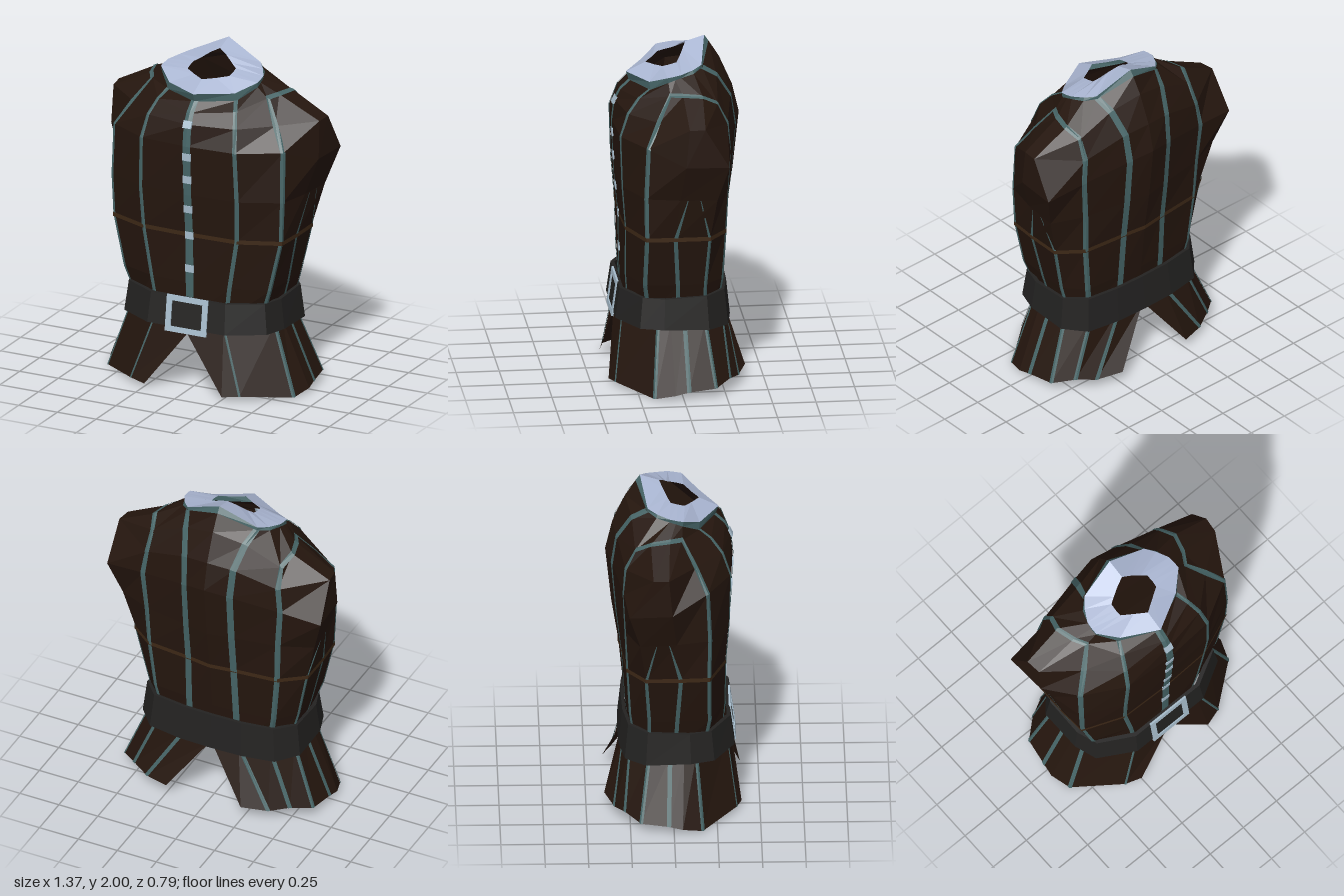
import * as THREE from 'three';

const V = (x, y, z) => new THREE.Vector3(x, y, z);
const mat = (color) => new THREE.MeshStandardMaterial({ color, flatShading: true, side: THREE.DoubleSide });
const cloth = mat(0x25160e), trim = mat(0x466567), seam = mat(0x3d2816);
const leather = mat(0x232221), metal = mat(0xa9bfcf), lining = mat(0xaab6d2);

// Half cross-sections, front centre -> left side -> back centre.
// Lower torso: [y, then x,z pairs]
const lower = [
  [0.45, 0, .30, .22, .28, .40, .18, .43, .01, .43, -.14, .34, -.22, .15, -.25, 0, -.255],
  [0.65, 0, .305, .25, .295, .47, .21, .485, .02, .485, -.14, .38, -.25, .15, -.27, 0, -.28],
  [0.95, 0, .31, .30, .30, .54, .205, .55, .04, .55, -.16, .41, -.265, .145, -.29, 0, -.31],
  [1.20, 0, .335, .31, .32, .55, .21, .595, .015, .615, -.195, .42, -.275, .145, -.32, 0, -.35],
];
// Chest, shoulder and neck: x,y,z triples
const upper = [
  [0, 1.5, .348, .30, 1.5, .33, .545, 1.5, .195, .67, 1.42, -.01, .685, 1.42, -.258, .44, 1.45, -.285, .145, 1.5, -.345, 0, 1.53, -.385],
  [0, 1.63, .335, .28, 1.63, .285, .46, 1.63, .125, .665, 1.645, -.03, .675, 1.65, -.12, .42, 1.6, -.275, .155, 1.68, -.32, 0, 1.7, -.345],
  [0, 1.69, .305, .25, 1.71, .22, .37, 1.76, .05, .41, 1.77, -.02, .44, 1.77, -.13, .41, 1.72, -.22, .19, 1.82, -.235, 0, 1.87, -.27],
  [0, 1.745, .25, .22, 1.752, .15, .31, 1.82, .055, .31, 1.835, .015, .305, 1.845, -.02, .28, 1.86, -.095, .22, 1.878, -.15, 0, 1.965, -.21],
];
const collarEdge = [0, 1.795, .268, .21, 1.797, .155, .312, 1.85, .06, .312, 1.857, .02, .308, 1.865, -.02, .27, 1.878, -.09, .225, 1.895, -.145, 0, 2, -.185];
const collarHole = [0, 1.85, .155, .07, 1.855, .11, .135, 1.865, .07, .138, 1.875, .03, .135, 1.885, -.01, .10, 1.905, -.03, .05, 1.94, -.055, 0, 1.965, -.075];
const beltHalf = [0, .355, .25, .355, .46, .235, .505, .10, .505, -.16, .40, -.28, .20, -.312, 0, -.318];
const skirtTop = [0, .35, .34, .22, .42, .31, .46, .42, .13, .475, .42, .06, .47, .42, -.02, .46, .42, -.14, .36, .42, -.25, .17, .42, -.28, 0, .40, -.29];
const skirtHem = [.25, .02, .395, .35, .03, .365, .60, .002, .165, .64, .03, .05, .63, .045, -.03, .605, .055, -.19, .50, .08, -.28, .39, .06, -.34, .24, .075, -.395];

const triples = (a) => Array.from({ length: a.length / 3 }, (_, i) => V(a[3 * i], a[3 * i + 1], a[3 * i + 2]));
const pairs = (a, y) => Array.from({ length: a.length / 2 }, (_, i) => V(a[2 * i], y, a[2 * i + 1]));
const flip = (p) => V(-p.x, p.y, p.z);
// Complete a half section into a closed loop
const loop = (half) => {
  const ring = [...half, ...half.slice(1, -1).reverse().map(flip)];
  return [...ring, ring[0]];
};

// Skin between rows of points; rows run upward, columns anticlockwise from above
function skin(name, rows, material) {
  const pos = [];
  for (let r = 0; r + 1 < rows.length; r++) {
    for (let c = 0; c + 1 < rows[r].length; c++) {
      const a = rows[r][c], b = rows[r][c + 1], d = rows[r + 1][c + 1], e = rows[r + 1][c];
      for (const p of [a, b, d, a, d, e]) pos.push(p.x, p.y, p.z);
    }
  }
  const g = new THREE.BufferGeometry();
  g.setAttribute('position', new THREE.Float32BufferAttribute(pos, 3));
  g.computeVertexNormals();
  const m = new THREE.Mesh(g, material);
  m.name = name;
  return m;
}

// Ribbon lying on a surface; each step is [leftNeighbour, point, rightNeighbour]
function ribbon(name, steps, width, taper = 1) {
  const rows = steps.map(([a, p, b], i) => {
    const next = steps[Math.min(i + 1, steps.length - 1)][1], prev = steps[Math.max(i - 1, 0)][1];
    const out = b.clone().sub(a).cross(next.clone().sub(prev)).normalize().multiplyScalar(0.005);
    const w = (i === steps.length - 1 ? taper : 1) * width / 2;
    const side = (q) => p.clone().addScaledVector(q.clone().sub(p).normalize(), w).add(out);
    return [side(a), p.clone().add(out), side(b)];
  });
  return skin(name, rows, trim);
}
const mirrorSteps = (steps) => steps.map(([a, p, b]) => [flip(b), flip(p), flip(a)]);

export function createModel() {
  const model = new THREE.Group();
  const body = [...lower.map(([y, ...xz]) => pairs(xz, y)), ...upper.map(triples)];
  const both = (name, steps, width, taper) => {
    model.add(ribbon(name + 'Left', steps, width, taper));
    model.add(ribbon(name + 'Right', mirrorSteps(steps), width, taper));
  };

  // Torso with closed shoulder caps
  model.add(skin('torso', body.map(loop), cloth));

  // Collar: trim band and pale lining sloping in to the neck opening
  const edge = triples(collarEdge);
  model.add(skin('collarBand', [loop(body[7]), loop(edge)], trim));
  model.add(skin('collarLining', [loop(edge), loop(triples(collarHole))], lining));

  // Vertical stripes along the torso columns
  const up = (c, n) => body.slice(0, n).map((r) => [r[c - 1], r[c], r[c + 1]]);
  both('frontStripe', up(1, 8), 0.026);
  both('backStripe', up(6, 8), 0.04);

  // Side stripes lean together under the arm
  const under = (t) => [body[3][3], body[3][3].clone().lerp(body[3][4], t), body[3][4]];
  both('sideFrontStripe', [...up(3, 3), under(0.2)], 0.024, 0.2);
  both('sideBackStripe', [...up(4, 3), under(0.55)], 0.024, 0.2);

  // Outer stripe climbs the front, crosses the shoulder and runs down the back
  const over = [[body[7][2], body[6][2], body[5][3]]];
  for (const c of [3, 4]) over.push([body[7][c], body[6][c], body[5][c]]);
  over.push([body[7][5], body[6][5], body[5][4]]);
  const down = body.slice(0, 6).reverse().map((r) => [r[6], r[5], r[4]]);
  both('shoulderStripe', [...up(2, 6), ...over, ...down], 0.034);

  // Front placket and its buttons
  model.add(ribbon('placket', body.map((r) => [flip(r[1]), r[0], r[1]]), 0.05));
  for (const y of [0.74, 0.945, 1.11, 1.295, 1.435, 1.63]) {
    const i = body.findIndex((r) => r[0].y > y), a = body[i - 1][0], b = body[i][0];
    const button = new THREE.Mesh(new THREE.BoxGeometry(0.054, 0.045, 0.014), metal);
    button.position.lerpVectors(a, b, (y - a.y) / (b.y - a.y));
    button.rotation.x = Math.atan2(b.z - a.z, b.y - a.y);
    button.name = 'button';
    model.add(button);
  }

  // Waist seam
  const seamRow = (y) => loop(body[2].map((p) => V(p.x * 1.012, y, p.z * 1.015)));
  model.add(skin('waistSeam', [seamRow(0.937), seamRow(0.962)], seam));

  // Belt with a little thickness, wider at its lower edge
  const beltRow = (y, sx, sz, rise) => loop(pairs(beltHalf, y).map((p) =>
    V(p.x * sx, y + rise * Math.max(0, -p.z), p.z * sz)));
  model.add(skin('belt', [
    beltRow(0.385, 0.95, 0.94, -0.04), beltRow(0.385, 1, 1, -0.04),
    beltRow(0.565, 0.955, 0.93, 0.07), beltRow(0.565, 0.91, 0.87, 0.07),
  ], leather));

  // Square buckle
  const rect = (path, w, h) => {
    path.moveTo(-w, -h); path.lineTo(w, -h); path.lineTo(w, h); path.lineTo(-w, h); path.closePath();
    return path;
  };
  const frame = rect(new THREE.Shape(), 0.133, 0.108);
  frame.holes.push(rect(new THREE.Path(), 0.098, 0.076));
  const buckle = new THREE.Mesh(new THREE.ExtrudeGeometry(frame, { depth: 0.012, bevelEnabled: false }), metal);
  buckle.position.set(0, 0.462, 0.339);
  buckle.rotation.x = -0.14;
  buckle.name = 'buckle';
  model.add(buckle);

  // Flared skirts, split at front and back, with stripes
  const top = triples(skirtTop), hem = triples(skirtHem);
  model.add(skin('skirtLeft', [hem, top], cloth));
  model.add(skin('skirtRight', [hem, top].map((r) => r.map(flip).reverse()), cloth));
  for (const c of [1, 2, 4, 5, 6, 7]) {
    both('skirtStripe', [hem, top].map((r) => [r[c - 1], r[c], r[c + 1]]), c === 1 ? 0.014 : 0.026);
  }
  return model;
}
